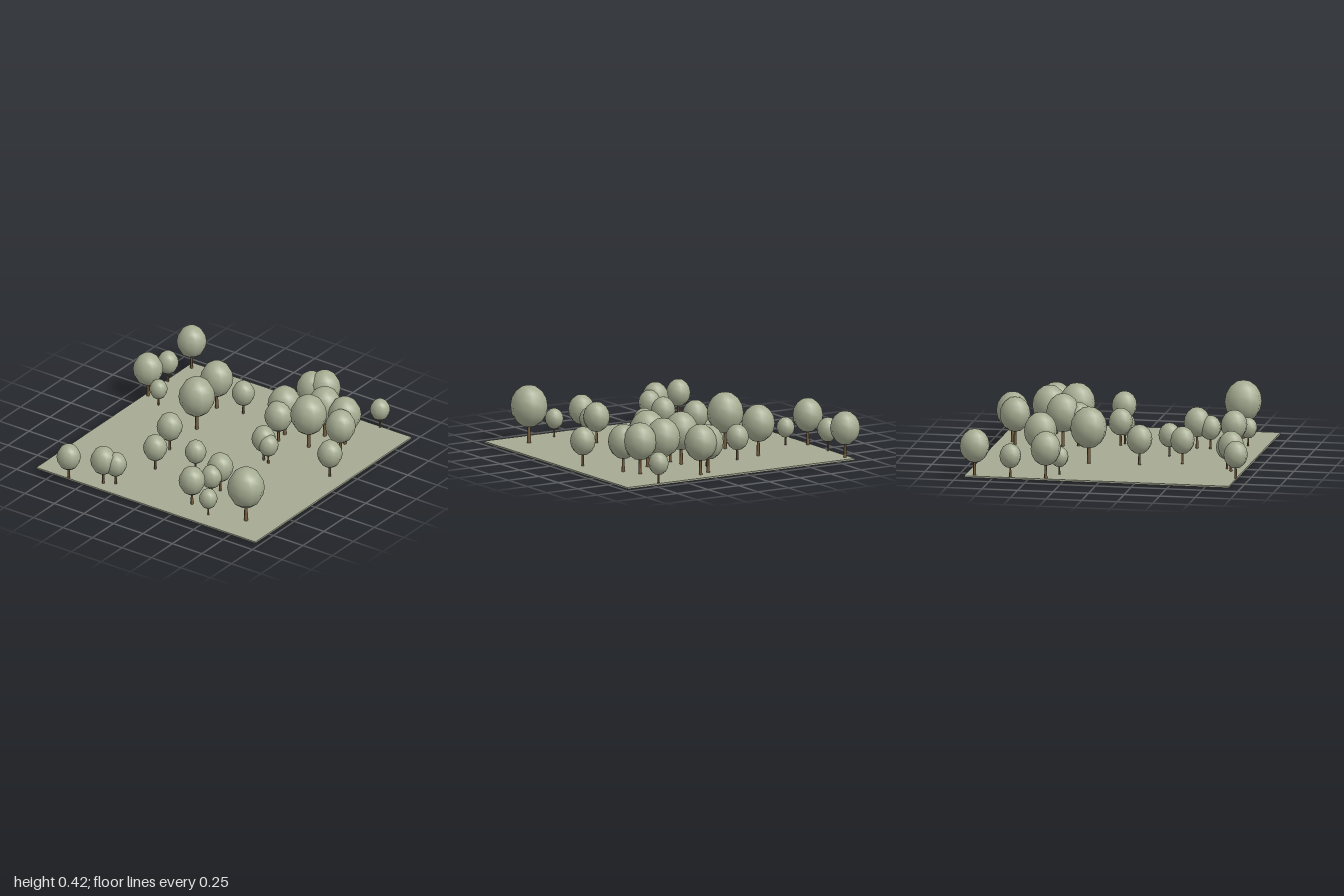
import * as THREE from 'three';

// Each tree: x, z, crown radius
const TREES = [
  [-0.853, -0.88, 0.104], [-0.873, -0.625, 0.075], [-0.865, -0.377, 0.105], [-0.727, -0.308, 0.063],
  [-0.377, -0.51, 0.115], [-0.18, -0.55, 0.08], [0.115, -0.623, 0.07], [0.218, -0.805, 0.107],
  [0.302, -0.84, 0.113], [0.705, -0.935, 0.07], [0.465, -0.612, 0.12], [0.645, -0.6, 0.115],
  [0.7, -0.47, 0.106], [0.468, -0.418, 0.127], [0.227, -0.47, 0.118], [0.25, -0.365, 0.098],
  [-0.313, -0.183, 0.127], [0.325, -0.083, 0.084], [0.378, -0.063, 0.071], [0.833, -0.157, 0.088],
  [-0.292, 0.17, 0.09], [0.033, 0.317, 0.075], [-0.21, 0.457, 0.084], [0.337, 0.452, 0.092],
  [0.33, 0.547, 0.075], [0.29, 0.722, 0.092], [0.473, 0.785, 0.064], [0.732, 0.7, 0.13],
  [-0.308, 0.79, 0.077], [-0.383, 0.832, 0.09], [-0.62, 0.912, 0.084],
];
const GROUND_TOP = 0.012;

function material(name, color) {
  const m = new THREE.MeshStandardMaterial({ color });
  m.name = name;
  return m;
}

export function createModel() {
  const model = new THREE.Group();
  model.name = 'grove';
  const groundMat = material('ground sage', 0xa6aa94);
  const leafMat = material('foliage sage', 0xa6ac92);
  const barkMat = material('bark brown', 0x7a6040);

  // Thin square slab of ground
  const ground = new THREE.Mesh(new THREE.BoxGeometry(1.857, GROUND_TOP, 1.86), groundMat);
  ground.name = 'ground';
  ground.position.set(0.037, GROUND_TOP / 2, -0.015);
  model.add(ground);

  // Unit tree, scaled by crown radius: egg-tall crown on a slim tapered trunk
  const crownGeo = new THREE.SphereGeometry(1, 10, 8).scale(1, 1.15, 1).translate(0, 2, 0);
  const trunkGeo = new THREE.CylinderGeometry(0.08, 0.105, 1.2, 6).translate(0, 0.6, 0);

  TREES.forEach(([x, z, r], i) => {
    const tree = new THREE.Group();
    tree.name = `tree${i + 1}`;
    const crown = new THREE.Mesh(crownGeo, leafMat);
    crown.name = 'crown';
    const trunk = new THREE.Mesh(trunkGeo, barkMat);
    trunk.name = 'trunk';
    tree.add(crown, trunk);
    tree.scale.setScalar(r);
    tree.position.set(x, GROUND_TOP, z);
    model.add(tree);
  });
  return model;
}
